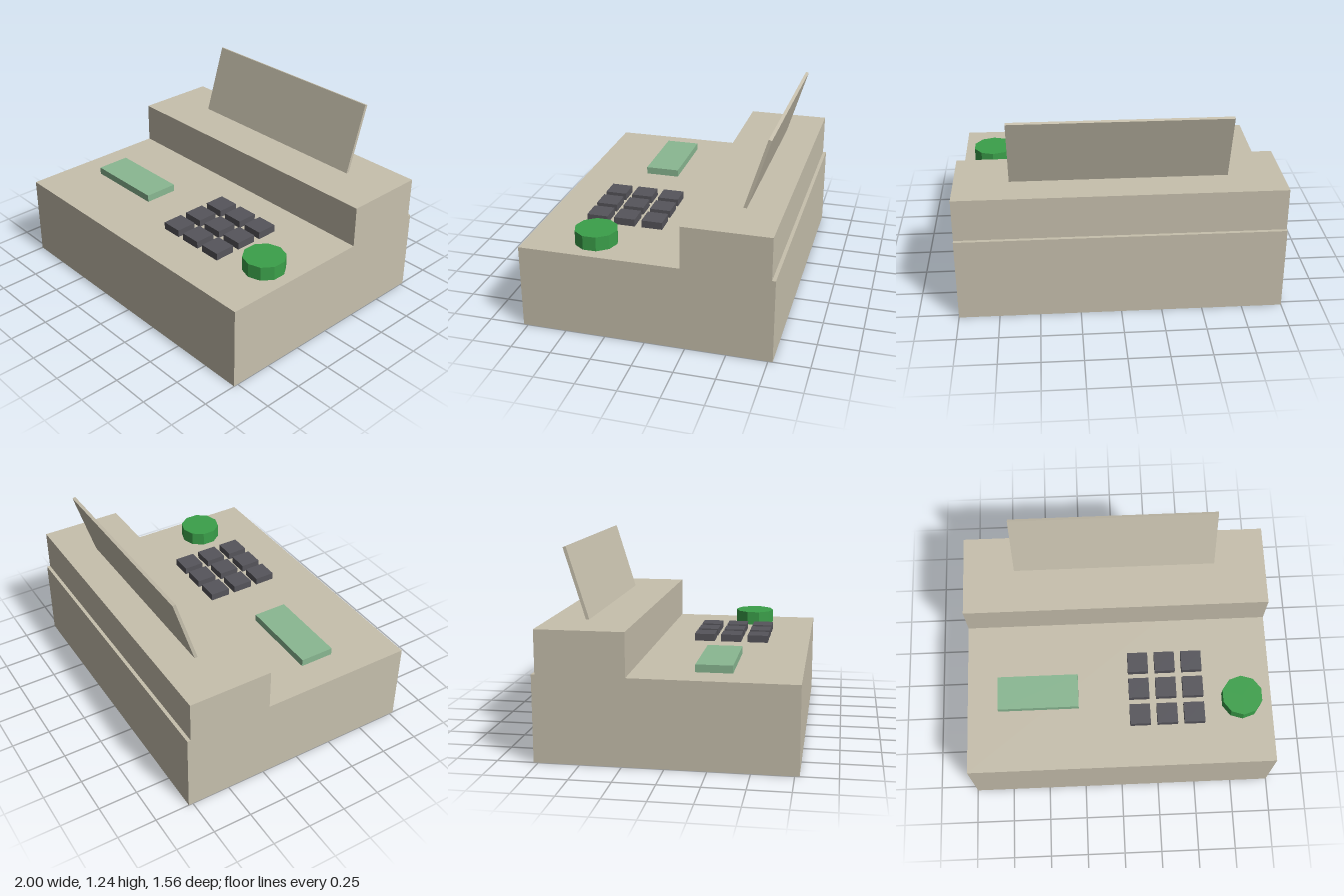
import * as THREE from 'three';

const material = (name, color) => {
  const m = new THREE.MeshStandardMaterial({ color });
  m.name = name;
  return m;
};

export function createModel() {
  const model = new THREE.Group();
  model.name = 'cashRegister';

  const beige = material('beige', 0xc7c0ad);
  const paleGreen = material('pale green', 0x8ab892);
  const charcoal = material('charcoal', 0x56555b);
  const green = material('green', 0x3ba04a);

  // Box given by its size and the centre of its underside
  const addBox = (name, mat, w, h, d, x, y, z, parent = model) => {
    const mesh = new THREE.Mesh(new THREE.BoxGeometry(w, h, d), mat);
    mesh.name = name;
    mesh.position.set(x, y + h / 2, z);
    parent.add(mesh);
    return mesh;
  };

  const deck = 0.533;

  // Housing: wide base with a raised block at the back
  addBox('base', beige, 2, deck, 1.556, 0, 0, 0);
  addBox('rearBlock', beige, 2, 0.267, 0.535, 0, deck, -0.4885);

  // Upright panel leaning backwards, its foot sunk into the rear block
  const panel = new THREE.Group();
  panel.name = 'backPanel';
  panel.position.set(0, 0.8, -0.523);
  panel.rotation.x = -0.3;
  addBox('panelSheet', beige, 1.33, 0.476, 0.02, 0, -0.02, 0, panel);
  model.add(panel);

  // Display
  addBox('display', paleGreen, 0.53, 0.047, 0.222, -0.535, deck, 0.263);

  // Three by three keypad
  const keypad = new THREE.Group();
  keypad.name = 'keypad';
  for (let row = 0; row < 3; row++) {
    for (let col = 0; col < 3; col++) {
      addBox('key', charcoal, 0.134, 0.047, 0.134,
        0.13 + col * 0.1775, deck, 0.085 + row * 0.1775, keypad);
    }
  }
  model.add(keypad);

  // Ten-sided button
  const buttonGeometry = new THREE.CylinderGeometry(0.133, 0.133, 0.09, 10).toNonIndexed();
  buttonGeometry.computeVertexNormals();
  const button = new THREE.Mesh(buttonGeometry, green);
  button.name = 'roundButton';
  button.position.set(0.8, deck + 0.045, 0.354);
  model.add(button);

  return model;
}
